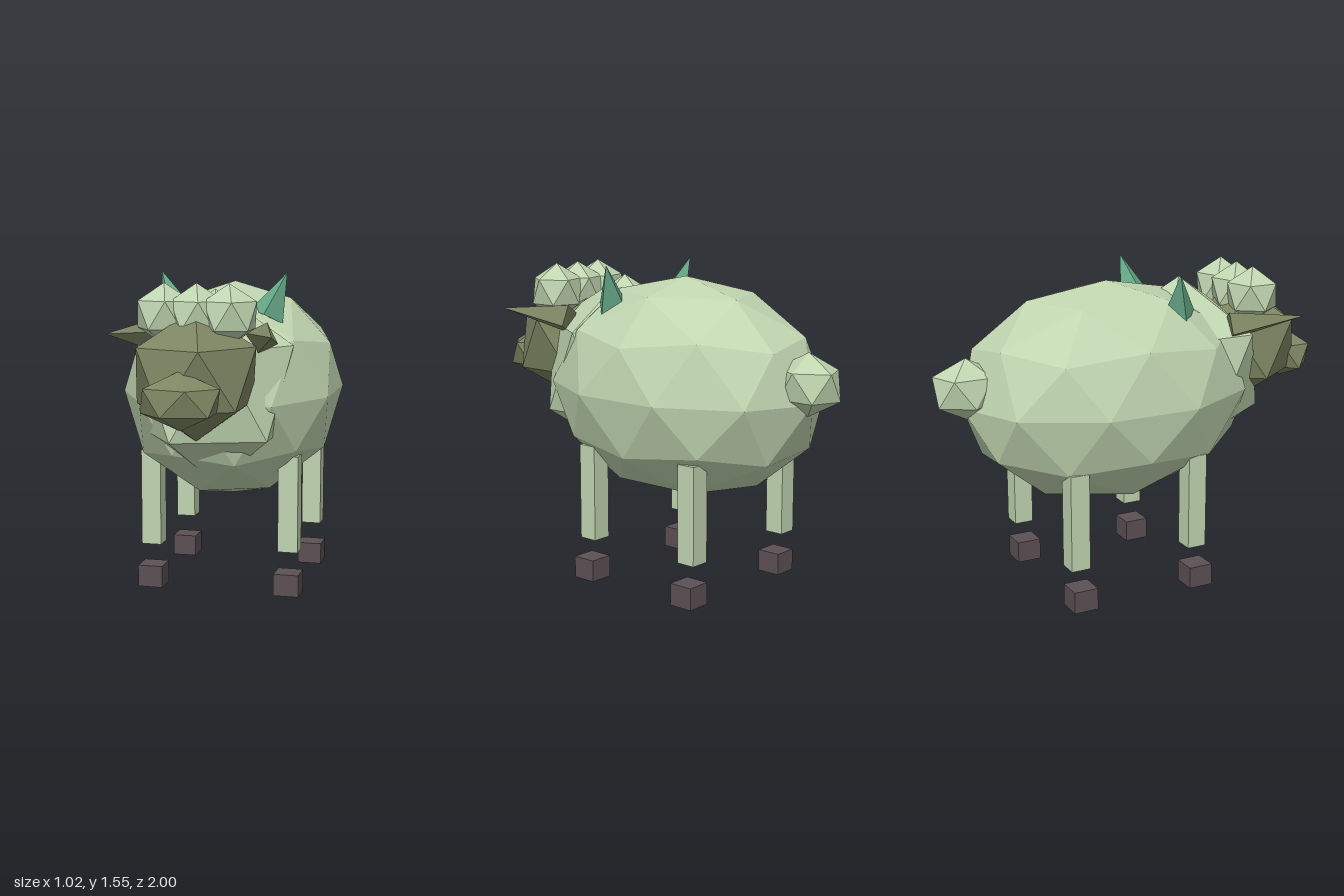
import * as THREE from 'three';

export function createModel() {
  const root = new THREE.Group();
  const mat = (name, color) => {
    const m = new THREE.MeshStandardMaterial({ color, flatShading: true });
    m.name = name;
    return m;
  };
  const wool = mat('pale green wool', 0xc0d5b0);
  const skin = mat('olive skin', 0x7d8562);
  const horn = mat('teal horn', 0x66aa88);
  const hoof = mat('dark hoof', 0x5c5054);

  const add = (name, geometry, material, x, y, z) => {
    const mesh = new THREE.Mesh(geometry, material);
    mesh.name = name;
    mesh.position.set(x, y, z);
    root.add(mesh);
    return mesh;
  };

  // Faceted ball standing on a vertex, stretched to three radii
  const ball = (name, material, [x, y, z], [rx, ry, rz], detail = 0) => {
    const g = new THREE.IcosahedronGeometry(1, detail);
    g.rotateZ(-Math.atan(2 / (1 + Math.sqrt(5))));
    g.scale(rx, ry, rz);
    g.computeVertexNormals();
    return add(name, g, material, x, y, z);
  };

  // Four-sided spike from a base centre to a tip
  const spike = (name, material, base, tip, radius) => {
    const a = new THREE.Vector3(...base);
    const dir = new THREE.Vector3(...tip).sub(a);
    const length = dir.length();
    const g = new THREE.ConeGeometry(radius, length, 4);
    g.translate(0, length / 2, 0);
    const mesh = add(name, g, material, a.x, a.y, a.z);
    mesh.quaternion.setFromUnitVectors(new THREE.Vector3(0, 1, 0), dir.normalize());
    return mesh;
  };

  // Body, chest wool and tail
  ball('body', wool, [0, 0.955, -0.13], [0.536, 0.536, 0.744], 1);
  ball('chestWool', wool, [0, 1.009, 0.27], [0.42, 0.466, 0.46]);
  ball('tail', wool, [0, 1.047, -0.85], [0.142, 0.148, 0.176]);

  // Head, snout and forehead curls
  ball('head', skin, [0, 1.11, 0.62], [0.31, 0.3, 0.325]);
  ball('snout', skin, [0, 1.03, 0.88], [0.2, 0.13, 0.14]);
  for (const x of [-0.15, 0, 0.15]) {
    ball('foreheadCurl', wool, [x, 1.38, 0.6], [0.14, 0.14, 0.14]);
  }

  for (const [side, s] of [['left', 1], ['right', -1]]) {
    // Ears and horns
    spike(side + 'Ear', skin, [s * 0.255, 1.26, 0.41], [s * 0.375, 1.3, 0.76], 0.078);
    spike(side + 'Horn', horn, [s * 0.22, 1.34, 0.145], [s * 0.31, 1.548, 0.105], 0.085);

    // Legs with separate floating hooves
    for (const [end, legZ, hoofZ] of [['Front', 0.166, 0.186], ['Back', -0.458, -0.438]]) {
      add(side + end + 'Leg', new THREE.BoxGeometry(0.097, 0.47, 0.095), wool, s * 0.342, 0.445, legZ);
      add(side + end + 'Hoof', new THREE.BoxGeometry(0.122, 0.107, 0.122), hoof, s * 0.341, 0.0535, hoofZ);
    }
  }
  return root;
}
